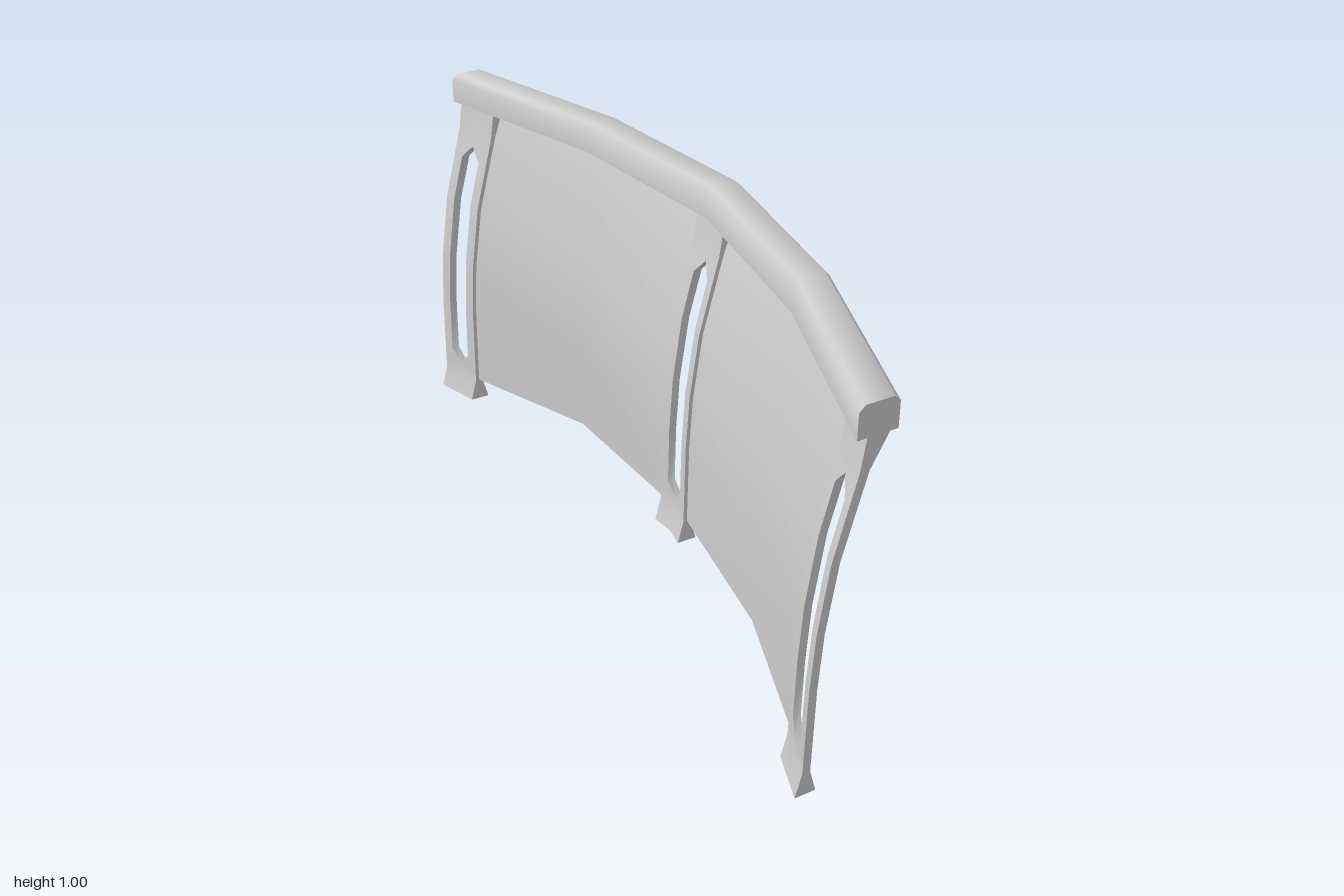
import * as THREE from 'three';
import { toCreasedNormals } from 'three/addons/utils/BufferGeometryUtils.js';

// Piecewise-linear lookup in a list of [key, value] pairs
function lerpTable(table, t) {
  for (let i = 1; i < table.length; i++) {
    const [a, va] = table[i - 1], [b, vb] = table[i];
    if (t <= b) return va + (vb - va) * (t - a) / (b - a);
  }
  return table[table.length - 1][1];
}

// Sideways bend of the whole barrier along z
const bend = z => lerpTable([[0, 0], [0.5, -0.075], [1, -0.245]], Math.abs(z));

// Post profile at the middle of the barrier: inner and outer x by height
const INNER = [[0, 0.02], [0.065, 0.037], [0.3, 0.042], [0.45, 0.052], [0.63, 0.078], [0.84, 0.133], [0.92, 0.145]];
const OUTER = [[0, 0.075], [0.065, 0.058], [0.3, 0.063], [0.45, 0.073], [0.63, 0.1], [0.84, 0.157], [0.92, 0.2]];
const inner = y => lerpTable(INNER, y);
const outer = y => lerpTable(OUTER, y);
const HALF_POST = 0.0625;

// Skin over successive rings of [x, y, z]; closed rings are capped.
// Quads lying wholly in the plane z = seam are left out.
function loft(rings, closed, seam = null, out = []) {
  const n = rings[0].length;
  for (let i = 0; i < rings.length - 1; i++) {
    for (let j = 0; j < (closed ? n : n - 1); j++) {
      const k = (j + 1) % n;
      const [a, b, c, d] = [rings[i][j], rings[i][k], rings[i + 1][k], rings[i + 1][j]];
      if (seam !== null && [a, b, c, d].every(p => p[2] === seam)) continue;
      out.push(...a, ...b, ...c, ...a, ...c, ...d);
    }
  }
  if (closed) {
    const first = rings[0], last = rings[rings.length - 1];
    for (let j = 1; j < n - 1; j++) {
      out.push(...first[0], ...first[j + 1], ...first[j]);
      out.push(...last[0], ...last[j], ...last[j + 1]);
    }
  }
  return out;
}

function makeMesh(name, positions, material) {
  const geometry = new THREE.BufferGeometry();
  geometry.setAttribute('position', new THREE.Float32BufferAttribute(positions, 3));
  const mesh = new THREE.Mesh(toCreasedNormals(geometry, 0.85), material);
  mesh.name = name;
  return mesh;
}

// Curved post with flared foot and a long pointed slot, as two mirrored halves
function postPositions(zc) {
  const levels = [0, 0.065, 0.1, 0.14, 0.3, 0.45, 0.63, 0.76, 0.8, 0.84, 0.92];
  const slot = [[0, 0], [0.1, 0], [0.14, 0.033], [0.76, 0.033], [0.8, 0], [0.92, 0]];
  const out = [];
  for (const side of [1, -1]) {
    const rings = levels.map(y => {
      const zi = zc + side * lerpTable(slot, y), ze = zc + side * HALF_POST;
      const ring = [
        [inner(y) + bend(zi), y, zi],
        [inner(y) + bend(ze), y, ze],
        [outer(y) + bend(ze), y, ze],
        [outer(y) + bend(zi), y, zi],
      ];
      return side > 0 ? ring : ring.reverse();
    });
    loft(rings, true, zc, out);
  }
  return out;
}

// Thin curved sheet between two posts
function panelPositions(side) {
  const rows = [0.065, 0.3, 0.45, 0.63, 0.84, 0.92].map(y =>
    [HALF_POST, 0.5, 1 - 2 * HALF_POST].map(a => {
      const z = side * a;
      // the back panel is slightly fuller near its lower middle
      const bulge = z === -0.5 ? 0.037 * (0.92 - y) / 0.855 : 0;
      return [(inner(y) + outer(y)) / 2 + bend(z) + bulge, y, z];
    }));
  return loft(rows, false);
}

export function createModel() {
  const group = new THREE.Group();
  group.name = 'curvedBarrier';
  const solid = new THREE.MeshStandardMaterial({ color: 0xcccccc });
  const sheet = new THREE.MeshStandardMaterial({ color: 0xcccccc, side: THREE.DoubleSide });

  // Handrail with bevelled top edges
  const section = [[0.12, 0.92], [0.22, 0.92], [0.22, 0.985], [0.205, 1], [0.135, 1], [0.12, 0.985]];
  const rings = [-1, -0.5, 0, 0.5, 1].map(z => section.map(([x, y]) => [x + bend(z), y, z]));
  group.add(makeMesh('handrail', loft(rings, true), solid));

  // Posts at both ends and in the middle
  const posts = { frontPost: 1 - HALF_POST, middlePost: 0, backPost: HALF_POST - 1 };
  for (const [name, z] of Object.entries(posts)) group.add(makeMesh(name, postPositions(z), solid));

  // Infill panels
  group.add(makeMesh('frontPanel', panelPositions(1), sheet));
  group.add(makeMesh('backPanel', panelPositions(-1), sheet));
  return group;
}
